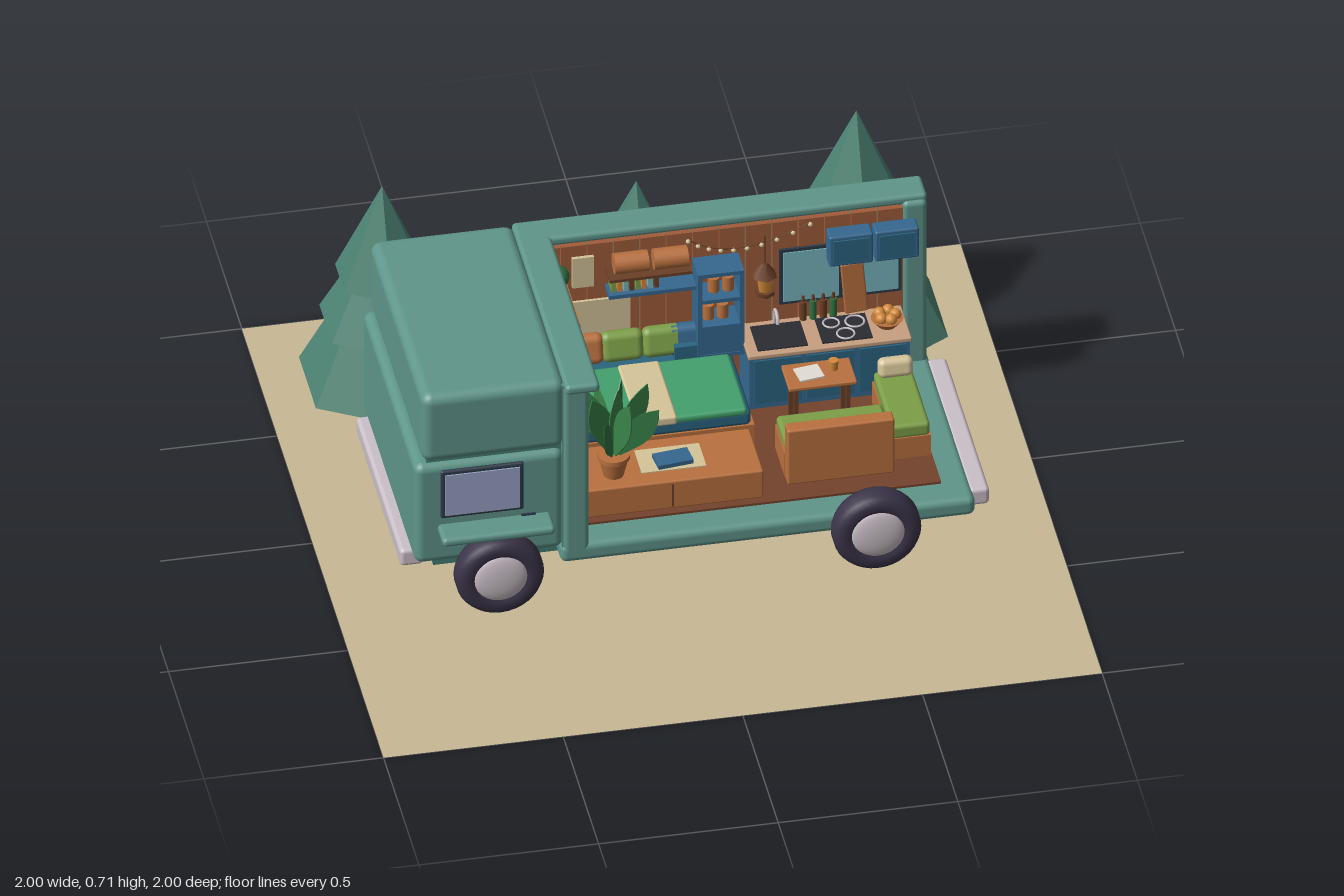
import * as THREE from 'three';
import { RoundedBoxGeometry } from 'three/addons/geometries/RoundedBoxGeometry.js';

const C = {
  teal: 0x5f968b, tealDark: 0x467c73, tree: 0x4d8373, sand: 0xc8b896, tyre: 0x3b3449, chrome: 0xcbc0c8,
  glass: 0x98a2c4, frame: 0x2c3a48, wall: 0xa05c3a, floor: 0x74432c, wood: 0xb9713f, darkWood: 0x6b3f27,
  blue: 0x36688f, deepBlue: 0x2b6580, green: 0x43a06c, olive: 0x7d9f48, cream: 0xd6c59a, sky: 0x78b6c0,
  black: 0x2b2b33, leaf: 0x2f7340, orange: 0xd38a3a,
};
const mats = {};
const mat = (color, flat) => mats[color + !!flat] ??= new THREE.MeshStandardMaterial({ color, flatShading: !!flat });

export function createModel() {
  const model = new THREE.Group();
  let target = model;
  const group = (name) => {
    target = new THREE.Group();
    target.name = name;
    model.add(target);
    return target;
  };
  const add = (name, geo, color, x = 0, y = 0, z = 0, flat = false) => {
    const m = new THREE.Mesh(geo, mat(color, flat));
    m.name = name;
    m.position.set(x, y, z);
    target.add(m);
    return m;
  };
  // Box given by its extents; r rounds the edges
  const box = (name, color, x0, x1, y0, y1, z0, z1, r = 0) => {
    const s = [x1 - x0, y1 - y0, z1 - z0];
    const geo = r ? new RoundedBoxGeometry(...s, 3, r) : new THREE.BoxGeometry(...s);
    return add(name, geo, color, (x0 + x1) / 2, (y0 + y1) / 2, (z0 + z1) / 2);
  };
  const cyl = (name, color, x, y, z, r0, r1, h, n = 20) =>
    add(name, new THREE.CylinderGeometry(r1, r0, h, n), color, x, y + h / 2, z);

  // Ground
  const ground = add('ground', new THREE.PlaneGeometry(2, 2).rotateX(-Math.PI / 2), C.sand);
  ground.material.side = THREE.DoubleSide;

  // Trees: three stacked six-sided tiers
  for (const [x, z, r] of [[-0.665, -0.72, 0.24], [0.055, -0.785, 0.19], [0.655, -0.72, 0.265]]) {
    const tree = group('tree');
    tree.position.set(x, 0, z);
    tree.scale.setScalar(r / 0.265);
    for (const [r0, r1, y0, y1] of [[0.265, 0.13, 0.003, 0.27], [0.2, 0.09, 0.215, 0.42], [0.15, 0, 0.38, 0.71]])
      add('tier', new THREE.CylinderGeometry(r1, r0, y1 - y0, 6), C.tree, 0, (y0 + y1) / 2, 0, true);
  }

  // Cab
  group('cab');
  box('cabTop', C.teal, -0.765, -0.365, 0.49, 0.715, -0.395, 0.355, 0.03);
  box('cabNeck', C.tealDark, -0.75, -0.37, 0.45, 0.52, -0.37, 0.335);
  box('cabBody', C.teal, -0.785, -0.37, 0.15, 0.483, -0.39, 0.355, 0.025);
  for (const [z, d] of [[0.355, 1], [-0.39, -1]]) {
    box('windowFrame', C.frame, -0.715, -0.483, 0.305, 0.465, z - 0.008, z + 0.008, 0.007);
    box('windowGlass', C.glass, -0.703, -0.495, 0.317, 0.453, z + d * 0.006 - 0.006, z + d * 0.006 + 0.006);
    box('doorHandle', C.frame, -0.49, -0.45, 0.28, 0.287, z - 0.006, z + 0.006);
  }
  box('mudguard', C.teal, -0.722, -0.408, 0.255, 0.282, 0.34, 0.43, 0.012);
  box('frontBumper', C.chrome, -0.815, -0.75, 0.11, 0.165, -0.33, 0.3, 0.012);

  // Open rear body
  group('body');
  box('sill', C.teal, -0.38, 0.775, 0.1, 0.16, -0.385, 0.36, 0.02);
  box('chassis', C.tealDark, -0.72, 0.72, 0.09, 0.155, -0.3, 0.28);
  box('backWall', C.teal, -0.37, 0.765, 0.11, 0.7, -0.388, -0.305, 0.03);
  box('backRail', C.teal, -0.37, 0.77, 0.685, 0.715, -0.395, -0.3, 0.012);
  box('rearPost', C.teal, 0.7, 0.768, 0.13, 0.7, -0.388, -0.288, 0.015);
  box('partition', C.teal, -0.375, -0.325, 0.13, 0.7, -0.38, 0.35);
  box('partitionPost', C.teal, -0.372, -0.3, 0.13, 0.7, 0.283, 0.36, 0.015);
  box('partitionRail', C.teal, -0.37, -0.275, 0.685, 0.715, -0.39, 0.38, 0.012);
  box('rearBumper', C.chrome, 0.765, 0.822, 0.1, 0.155, -0.3, 0.315, 0.012);
  box('floor', C.floor, -0.32, 0.695, 0.15, 0.167, -0.3, 0.275);
  for (let i = 0; i < 14; i++)
    box('wallPlank', C.wall, -0.325 + i * 0.0735, -0.255 + i * 0.0735, 0.16, 0.686, -0.31, -0.29);
  for (let i = 0; i < 8; i++)
    box('partitionPlank', C.wall, -0.33, -0.306, 0.16, 0.686, -0.29 + i * 0.0717, -0.2215 + i * 0.0717);

  // Wheels, with domed hubs on the outer side
  for (const x of [-0.56, 0.49]) for (const s of [1, -1]) {
    const wheel = group('wheel');
    wheel.position.set(x, 0.128, s > 0 ? 0.357 : -0.387);
    wheel.rotation.x = s * Math.PI / 2;
    const p = [[0, 0], [0.1, 0], [0.117, 0.008], [0.123, 0.022], [0.123, 0.054], [0.117, 0.067], [0.1, 0.076], [0.076, 0.076], [0.072, 0.066], [0, 0.066]];
    add('tyre', new THREE.LatheGeometry(p.map(q => new THREE.Vector2(...q)), 36), C.tyre);
    add('hub', new THREE.SphereGeometry(0.075, 24, 8, 0, Math.PI * 2, 0, Math.PI / 2).scale(1, 0.24, 1), C.chrome, 0, 0.066, 0);
  }

  // Bench and bed
  group('bed');
  box('bench', C.wood, -0.3, 0.205, 0.167, 0.26, 0.055, 0.255, 0.006);
  box('benchGap', C.darkWood, -0.05, -0.045, 0.175, 0.25, 0.25, 0.257);
  box('paper', C.cream, -0.125, 0.055, 0.26, 0.263, 0.1, 0.205);
  box('book', C.blue, -0.08, 0.02, 0.262, 0.276, 0.135, 0.195).rotation.y = 0.12;
  box('bedBase', C.wood, -0.29, 0.22, 0.167, 0.265, -0.29, 0.05);
  box('mattress', C.deepBlue, -0.28, 0.212, 0.262, 0.312, -0.285, 0.05, 0.015);
  box('blanket', C.green, -0.272, 0.2, 0.3, 0.324, -0.21, 0.054, 0.01);
  box('runner', C.cream, -0.112, 0.004, 0.3, 0.329, -0.208, 0.058, 0.008);
  for (const [x, color] of [[-0.2, C.wood], [-0.09, C.olive], [0.025, C.olive], [0.085, C.blue]])
    box('pillow', color, x - 0.06, x + 0.06, 0.315, 0.405, -0.275, -0.23, 0.022).rotation.x = -0.25;
  box('headboard', C.cream, -0.22, -0.06, 0.33, 0.5, -0.292, -0.282);

  // Shelves on the walls
  group('shelves');
  box('longShelf', C.blue, -0.13, 0.12, 0.535, 0.547, -0.29, -0.23);
  for (let i = 0; i < 8; i++)
    box('shelfBook', [C.olive, C.orange, C.sky, C.darkWood][i % 4], -0.12 + i * 0.017, -0.107 + i * 0.017, 0.547, 0.582 + (i * 7 % 4) * 0.005, -0.285, -0.245);
  box('topShelf', C.darkWood, -0.13, 0.1, 0.598, 0.607, -0.29, -0.22);
  for (const x of [-0.065, 0.045])
    add('roll', new THREE.CylinderGeometry(0.03, 0.03, 0.095, 16).rotateZ(Math.PI / 2), C.wood, x, 0.637, -0.255);
  box('picture', C.cream, -0.222, -0.162, 0.55, 0.65, -0.292, -0.28);
  for (const y of [0.44, 0.55]) {
    box('cornerShelf', C.wood, -0.308, -0.235, y, y + 0.012, -0.29, -0.1);
    for (const z of [-0.25, -0.19, -0.13])
      cyl('shelfPot', z < -0.2 ? C.darkWood : C.wood, -0.268, y + 0.012, z, 0.015, 0.022, 0.04, 14);
  }
  add('shelfPlant', new THREE.SphereGeometry(0.032, 12, 8), C.leaf, -0.268, 0.62, -0.25);

  // Tall open cabinet
  group('tallCabinet');
  for (const x of [0.113, 0.23]) box('side', C.blue, x, x + 0.012, 0.315, 0.6, -0.29, -0.205);
  for (const y of [0.315, 0.41, 0.5, 0.588]) box('board', C.blue, 0.113, 0.242, y, y + 0.012, -0.29, -0.205);
  box('drawerFront', C.blue, 0.125, 0.23, 0.327, 0.41, -0.28, -0.207);
  for (const [x, y] of [[0.15, 0.422], [0.19, 0.422], [0.165, 0.512], [0.205, 0.512]])
    cyl('jar', C.wood, x, y, -0.25, 0.016, 0.016, 0.045, 14);
  box('lowCabinet', C.deepBlue, 0.05, 0.113, 0.31, 0.36, -0.29, -0.21);

  // Kitchen
  group('kitchen');
  box('counterBase', C.blue, 0.245, 0.692, 0.167, 0.34, -0.29, -0.15);
  for (let i = 0; i < 3; i++) box('counterDoor', C.deepBlue, 0.258 + i * 0.146, 0.39 + i * 0.146, 0.185, 0.33, -0.152, -0.145);
  box('counterTop', 0xc79f80, 0.24, 0.695, 0.34, 0.355, -0.295, -0.138, 0.004);
  box('sink', C.black, 0.27, 0.41, 0.35, 0.358, -0.27, -0.157);
  add('tap', new THREE.TorusGeometry(0.025, 0.005, 8, 16, Math.PI).rotateY(Math.PI / 2), C.chrome, 0.34, 0.385, -0.255);
  cyl('tapStem', C.chrome, 0.34, 0.355, -0.28, 0.005, 0.005, 0.03, 10);
  box('stove', C.black, 0.45, 0.59, 0.35, 0.359, -0.27, -0.157);
  for (const [x, z, r] of [[0.49, -0.24, 0.022], [0.555, -0.235, 0.026], [0.52, -0.185, 0.024]])
    add('burner', new THREE.TorusGeometry(r, 0.003, 6, 24).rotateX(Math.PI / 2), C.chrome, x, 0.361, z);
  cyl('fruitBowl', C.wood, 0.64, 0.355, -0.21, 0.025, 0.045, 0.025);
  for (let i = 0; i < 5; i++)
    add('fruit', new THREE.SphereGeometry(0.017, 12, 8), C.orange, 0.64 + 0.023 * Math.cos(i * 1.257), 0.388, -0.21 + 0.023 * Math.sin(i * 1.257));
  box('cuttingBoard', C.wood, 0.53, 0.595, 0.357, 0.525, -0.288, -0.277, 0.005).rotation.z = 0.08;
  for (let i = 0; i < 4; i++) {
    cyl('bottle', i % 2 ? C.leaf : C.darkWood, 0.42 + i * 0.028, 0.355, -0.28, 0.01, 0.01, 0.06, 12);
    cyl('bottleNeck', C.darkWood, 0.42 + i * 0.028, 0.415, -0.28, 0.005, 0.004, 0.02, 10);
  }
  box('windowFrame', C.frame, 0.355, 0.695, 0.41, 0.595, -0.293, -0.283);
  for (const x of [0.365, 0.53]) box('windowPane', C.sky, x, x + 0.155, 0.42, 0.585, -0.29, -0.28);
  for (const x of [0.485, 0.613]) {
    box('wallCabinet', C.blue, x, x + 0.122, 0.55, 0.65, -0.29, -0.238, 0.006);
    box('cabinetDoor', C.deepBlue, x + 0.012, x + 0.11, 0.562, 0.638, -0.24, -0.234);
  }

  // Hanging lantern and string of lights
  group('lights');
  cyl('lanternCord', C.darkWood, 0.305, 0.57, -0.24, 0.002, 0.002, 0.115, 6);
  cyl('lanternRoof', C.darkWood, 0.305, 0.55, -0.24, 0.036, 0.008, 0.04, 6);
  cyl('lanternGlass', C.orange, 0.305, 0.5, -0.24, 0.018, 0.024, 0.05, 6);
  cyl('lanternFoot', C.darkWood, 0.305, 0.488, -0.24, 0.028, 0.028, 0.012, 6);
  const wire = new THREE.QuadraticBezierCurve3(new THREE.Vector3(0.1, 0.67, -0.28), new THREE.Vector3(0.22, 0.57, -0.28), new THREE.Vector3(0.44, 0.68, -0.28));
  add('lightWire', new THREE.TubeGeometry(wire, 20, 0.0015, 5), C.darkWood);
  for (const p of wire.getPoints(9)) add('bulb', new THREE.SphereGeometry(0.007, 8, 6), C.cream, p.x, p.y - 0.006, p.z);

  // Corner seat and table
  group('seating');
  box('seatBack', C.wood, 0.28, 0.578, 0.167, 0.35, 0.17, 0.212, 0.006);
  box('seatBase', C.wood, 0.28, 0.58, 0.167, 0.245, 0.035, 0.17);
  box('seatCushion', C.olive, 0.283, 0.578, 0.24, 0.275, 0.03, 0.168, 0.012);
  box('sideBase', C.wood, 0.58, 0.692, 0.167, 0.235, -0.12, 0.15);
  box('sideCushion', C.olive, 0.582, 0.69, 0.23, 0.275, -0.115, 0.148, 0.012);
  box('seatPillow', C.cream, 0.59, 0.688, 0.272, 0.33, -0.11, -0.07, 0.018).rotation.x = -0.2;
  box('tableTop', C.wood, 0.328, 0.518, 0.312, 0.325, -0.125, -0.012, 0.004);
  for (const x of [0.345, 0.49]) for (const z of [-0.11, -0.035]) box('tableLeg', C.darkWood, x, x + 0.012, 0.167, 0.314, z, z + 0.012);
  box('tablePaper', 0xe4ded4, 0.36, 0.43, 0.325, 0.33, -0.1, -0.04).rotation.y = 0.15;
  cyl('cup', C.orange, 0.465, 0.325, -0.08, 0.012, 0.014, 0.03, 14);

  // Potted plant with broad, upright leaves
  const plant = group('plant');
  plant.position.set(-0.2, 0.26, 0.19);
  cyl('pot', C.wood, 0, 0, 0, 0.028, 0.042, 0.06);
  cyl('potRim', C.wood, 0, 0.056, 0, 0.045, 0.045, 0.014);
  const outline = new THREE.Shape();
  outline.moveTo(-0.004, 0).lineTo(0.004, 0).bezierCurveTo(0.014, 0.07, 0.075, 0.14, 0, 0.24);
  outline.bezierCurveTo(-0.075, 0.14, -0.014, 0.07, -0.004, 0);
  const leafGeo = new THREE.ExtrudeGeometry(outline, { depth: 0.003, bevelEnabled: false, curveSegments: 10 });
  [[0.3, 0.45], [1.1, 0.3], [1.9, 0.5], [2.7, 0.4], [3.5, 0.3], [4.3, 0.55], [5.1, 0.35], [5.8, 0.6], [0.8, 0.08]].forEach(([turn, lean], i) => {
    // Lean sideways in the blade's own plane, then turn about the stem
    const leaf = add('leaf', leafGeo, i % 2 ? C.leaf : 0x3a8549, 0, 0.055, 0);
    leaf.rotation.set(0, turn, -lean);
    leaf.scale.setScalar(1 - 0.04 * (i % 3));
  });

  return model;
}
